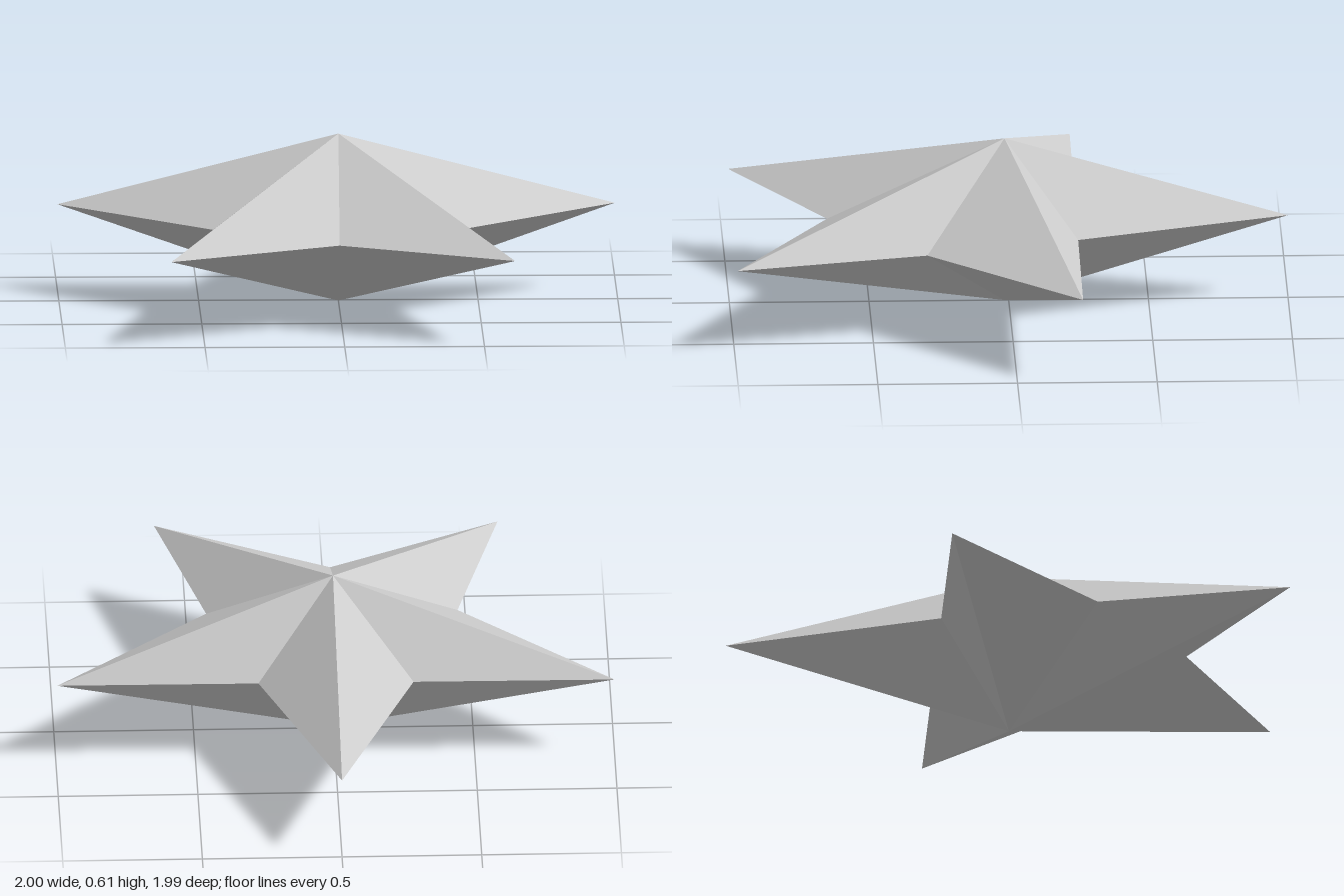
import * as THREE from 'three';

// Star outline as [x, z], alternating tips and notches, clockwise from above
const OUTLINE = [
  [0, -1], [0.275, -0.24],
  [0.995, -0.235], [0.445, 0.305],
  [0.61, 0.99], [-0.01, 0.65],
  [-0.62, 0.985], [-0.455, 0.305],
  [-1, -0.25], [-0.28, -0.245],
];
const MID = 0.308, HEIGHT = 0.606, CENTRE_Z = 0.015;

// Faceted pyramid from the outline to one apex
function starHalf(apexY) {
  const up = apexY > MID;
  const positions = [];
  OUTLINE.forEach(([x, z], i) => {
    const [nx, nz] = OUTLINE[(i + 1) % OUTLINE.length];
    const a = [x, MID, z], b = [nx, MID, nz];
    positions.push(0, apexY, CENTRE_Z, ...(up ? b : a), ...(up ? a : b));
  });
  const geometry = new THREE.BufferGeometry();
  geometry.setAttribute('position', new THREE.Float32BufferAttribute(positions, 3));
  geometry.computeVertexNormals();
  return geometry;
}

export function createModel() {
  const group = new THREE.Group();
  group.name = 'star';
  const grey = new THREE.MeshStandardMaterial({ color: 0xcccccc });
  grey.name = 'light grey';

  // Raised upper and lower faces meet at the rim
  for (const [name, apexY] of [['upperStar', HEIGHT], ['lowerStar', 0]]) {
    const mesh = new THREE.Mesh(starHalf(apexY), grey);
    mesh.name = name;
    group.add(mesh);
  }
  return group;
}
